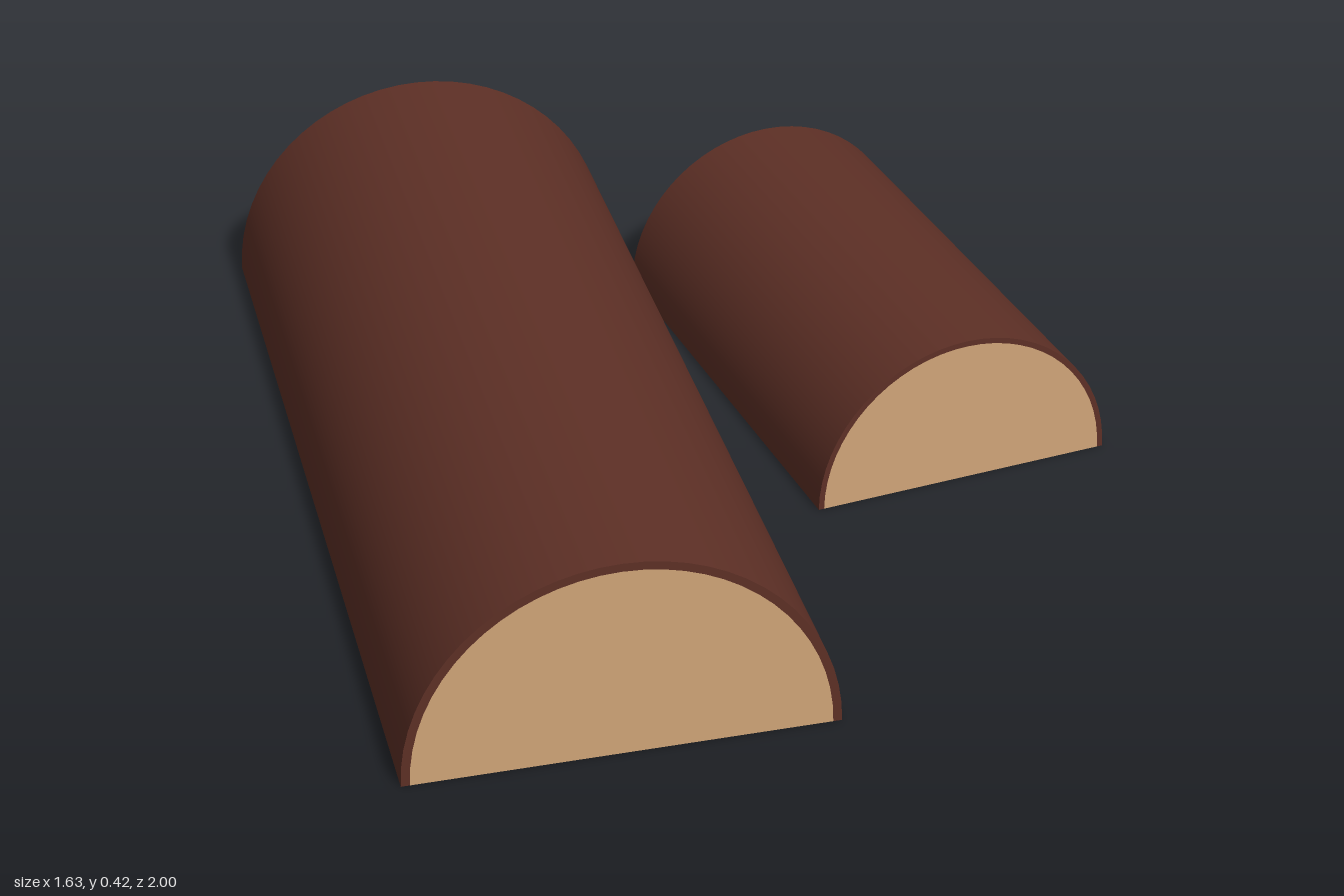
import * as THREE from 'three';
import { mergeGeometries } from 'three/addons/utils/BufferGeometryUtils.js';

const SEGMENTS = 32;

// A flat strip facing down at y = 0
function underside(width, length, x) {
  return new THREE.PlaneGeometry(width, length).rotateX(Math.PI / 2).translate(x, 0, 0);
}

// The same flat end shape on the front and the back
function bothEnds(makeShape, length) {
  return [0, 1].map((back) => makeShape().translate(0, 0, length / 2).rotateY(back * Math.PI));
}

// A log split lengthwise, lying on its flat side along z
function splitLog(name, radius, barkThickness, length, bark, wood) {
  const inner = radius - barkThickness;
  const log = new THREE.Group();
  log.name = name;

  // Bark: curved skin, rims at the ends, narrow edges underneath
  const skin = new THREE.CylinderGeometry(
    radius, radius, length, SEGMENTS, 1, true, Math.PI / 2, Math.PI).rotateX(Math.PI / 2);
  const rims = bothEnds(
    () => new THREE.RingGeometry(inner, radius, SEGMENTS, 1, 0, Math.PI), length);
  const edges = [-1, 1].map(
    (side) => underside(barkThickness, length, side * (radius - barkThickness / 2)));
  const barkMesh = new THREE.Mesh(mergeGeometries([skin, ...rims, ...edges]), bark);
  barkMesh.name = name + 'Bark';

  // Wood: half-round cut ends and the split face underneath
  const ends = bothEnds(
    () => new THREE.CircleGeometry(inner, SEGMENTS, 0, Math.PI), length);
  const woodMesh = new THREE.Mesh(
    mergeGeometries([...ends, underside(inner * 2, length, 0)]), wood);
  woodMesh.name = name + 'Wood';

  log.add(barkMesh, woodMesh);
  return log;
}

export function createModel() {
  const bark = new THREE.MeshStandardMaterial({ color: 0x5e3026 });
  bark.name = 'bark brown';
  const wood = new THREE.MeshStandardMaterial({ color: 0xd2a679 });
  wood.name = 'cut wood tan';

  const model = new THREE.Group();
  model.name = 'splitLogs';

  const longLog = splitLog('longLog', 0.417, 0.017, 2, bark, wood);
  longLog.position.x = -0.402;

  const shortLog = splitLog('shortLog', 0.324, 0.012, 1.023, bark, wood);
  shortLog.position.set(0.417, 0, -0.258);
  shortLog.rotation.y = 0.145;

  model.add(longLog, shortLog);
  return model;
}
